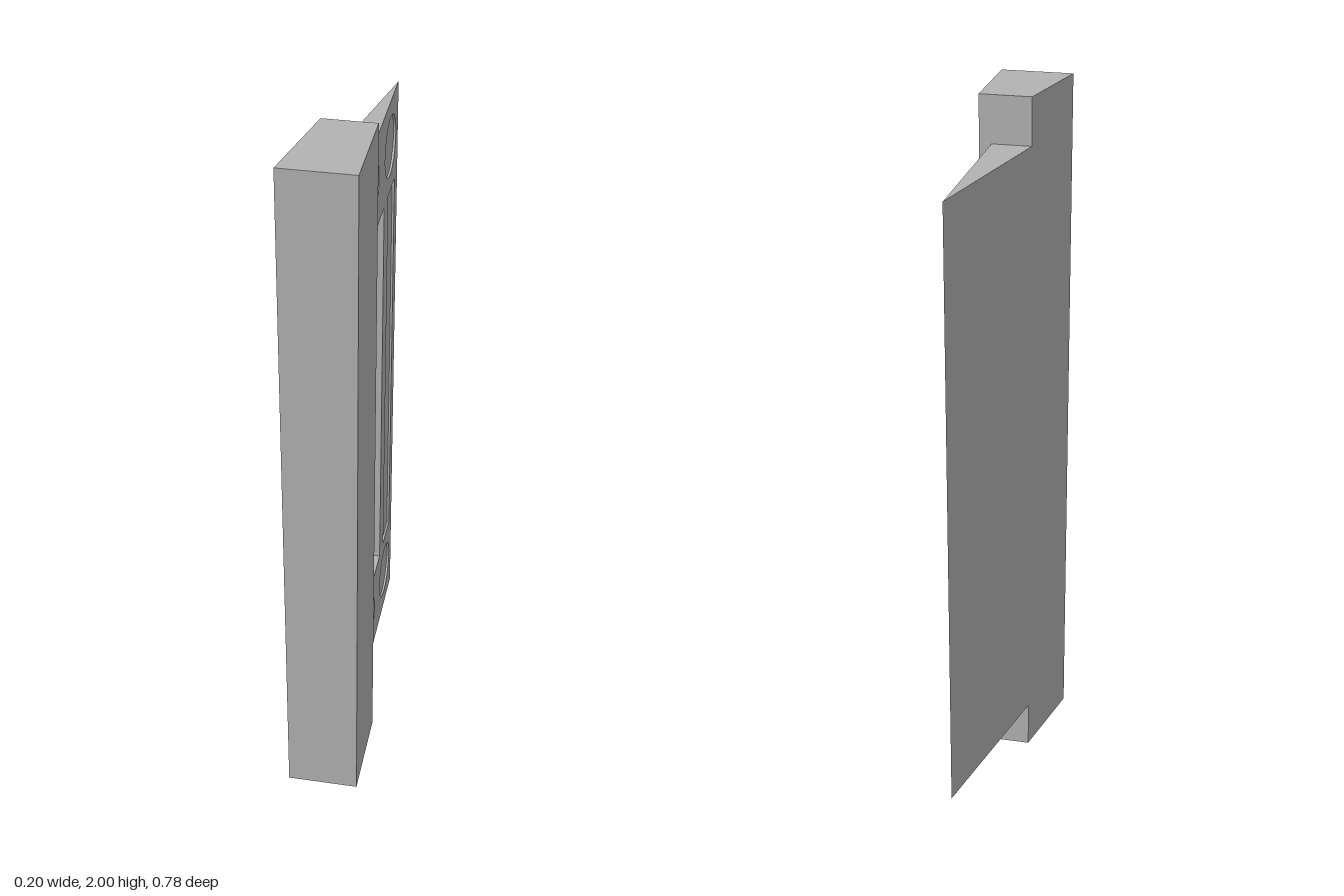
import * as THREE from 'three';

const FACE_X = 0.066, STEP_Z = 0.122, FRONT_Z = 0.39, BACK_Z = -0.39, SLOPE_X = -0.043;
const BOTTOM = 0.135, TOP = 1.868;

const grey = new THREE.MeshStandardMaterial({ color: 0xb2b2b2 });
grey.name = 'grey';

// Counter-clockwise outlines on the recessed side face: u runs to the back, v up
const rect = (u0, u1, v0, v1) => [[u0, v0], [u1, v0], [u1, v1], [u0, v1]].map(p => new THREE.Vector2(...p));
const circle = (u, v, r, n = 48) => Array.from({ length: n }, (_, i) => {
  const a = (i / n) * Math.PI * 2;
  return new THREE.Vector2(u + r * Math.cos(a), v + r * Math.sin(a));
});

// Flat shaded triangles from a list of corner triples
function facets(corners) {
  const g = new THREE.BufferGeometry();
  g.setAttribute('position', new THREE.Float32BufferAttribute(corners.flat(), 3));
  g.computeVertexNormals();
  return g;
}

// Walls leading down from an outline to the pocket floor
function pocketWalls(points, depth) {
  const corners = [];
  points.forEach((p, i) => {
    const q = points[(i + 1) % points.length];
    const a = [p.x, p.y, 0], b = [q.x, q.y, 0], c = [q.x, q.y, -depth], d = [p.x, p.y, -depth];
    corners.push(a, b, c, a, c, d);
  });
  return facets(corners);
}

export function createModel() {
  const group = new THREE.Group();
  const add = (name, geometry, parent = group) => {
    const mesh = new THREE.Mesh(geometry, grey);
    mesh.name = name;
    parent.add(mesh);
    return mesh;
  };

  // Full-height bar with one slanted side
  const profile = new THREE.Shape([
    [-0.1, -FRONT_Z], [0.1, -FRONT_Z], [0.1, -STEP_Z], [SLOPE_X, -STEP_Z],
  ].map(p => new THREE.Vector2(...p)));
  add('bar', new THREE.ExtrudeGeometry(profile, { depth: 2, bevelEnabled: false }).rotateX(-Math.PI / 2));

  // Slanted side and triangular ends of the wedge
  const A = y => [FACE_X, y, STEP_Z], B = y => [FACE_X, y, BACK_Z], C = y => [SLOPE_X, y, STEP_Z];
  add('wedgeShell', facets([
    A(TOP), B(TOP), C(TOP),
    A(BOTTOM), C(BOTTOM), B(BOTTOM),
    B(BOTTOM), C(BOTTOM), C(TOP),
    B(BOTTOM), C(TOP), B(TOP),
  ]));

  // Pockets: three slots and four round recesses, shallow near the thin edge
  const pockets = [
    { name: 'frontSlot', points: rect(-0.09, 0.012, 0.4, 1.6), depth: 0.032 },
    { name: 'middleSlot', points: rect(0.075, 0.18, 0.4, 1.6), depth: 0.032 },
    { name: 'rearSlot', points: rect(0.243, 0.347, 0.4, 1.6), depth: 0.006 },
  ];
  for (const [level, v] of [['lower', 0.27], ['upper', 1.735]]) {
    pockets.push({ name: level + 'FrontRecess', points: circle(0.01, v, 0.085), depth: 0.034 });
    pockets.push({ name: level + 'RearRecess', points: circle(0.272, v, 0.085), depth: 0.006 });
  }

  // Pierced face, turned to look toward +x
  const side = new THREE.Group();
  side.name = 'pocketedSide';
  side.position.x = FACE_X;
  side.rotation.y = Math.PI / 2;
  group.add(side);
  const face = new THREE.Shape(rect(-STEP_Z, -BACK_Z, BOTTOM, TOP));
  face.holes = pockets.map(p => new THREE.Path(p.points));
  add('wedgeFace', new THREE.ShapeGeometry(face), side);

  for (const { name, points, depth } of pockets) {
    add(name + 'Walls', pocketWalls(points, depth), side);
    add(name + 'Floor', new THREE.ShapeGeometry(new THREE.Shape(points)).translate(0, 0, -depth), side);
  }
  return group;
}
